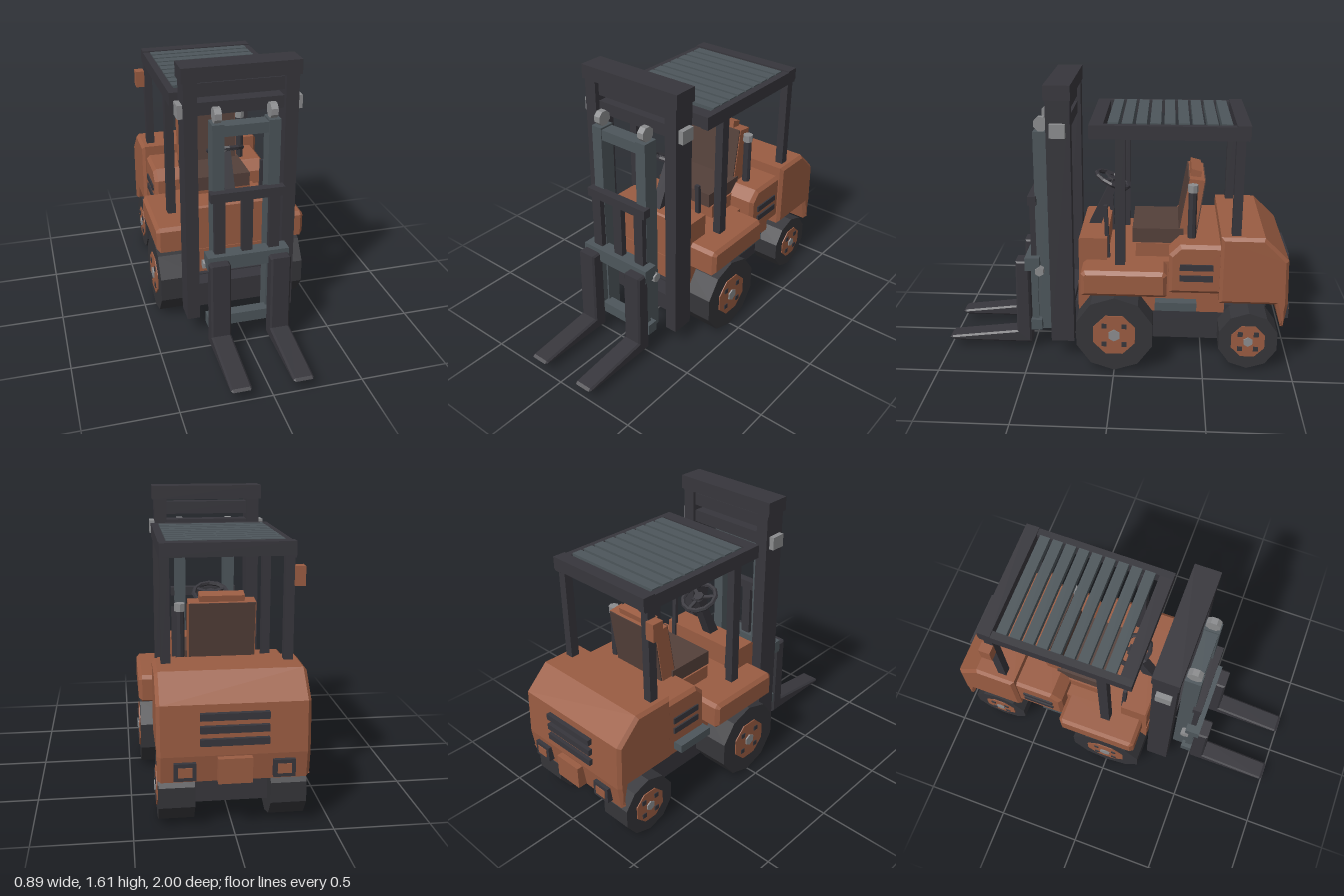
import * as THREE from 'three';

const mat = (name, color) => new THREE.MeshStandardMaterial({ name, color, flatShading: true });

export function createModel() {
  const orange = mat('orange paint', 0x9a5c42), dark = mat('dark steel', 0x37363c);
  const slate = mat('slate steel', 0x4d565b), light = mat('light metal', 0x8b8c8e);
  const brown = mat('brown seat', 0x54403a), rubber = mat('tyre rubber', 0x353539);
  const root = new THREE.Group();
  root.name = 'forklift';

  const add = (name, geo, m, parent = root) => {
    const mesh = new THREE.Mesh(geo, m);
    mesh.name = name;
    parent.add(mesh);
    return mesh;
  };
  // Box given by its limits on each axis
  const box = (name, m, x0, x1, y0, y1, z0, z1, parent) => {
    const g = new THREE.BoxGeometry(Math.abs(x1 - x0), y1 - y0, Math.abs(z1 - z0));
    g.translate((x0 + x1) / 2, (y0 + y1) / 2, (z0 + z1) / 2);
    return add(name, g, m, parent);
  };
  // The same box on both sides
  const pair = (name, m, x0, x1, ...rest) => [1, -1].forEach(s => box(name, m, s * x0, s * x1, ...rest));
  // Side profile of [z, y] points, extruded across x with chamfered edges
  const prof = (name, m, pts, x0, x1, bevel = 0) => {
    const shape = new THREE.Shape(pts.map(p => new THREE.Vector2(...p)));
    const w = Math.abs(x1 - x0);
    const g = new THREE.ExtrudeGeometry(shape, {
      depth: w - 2 * bevel, bevelEnabled: bevel > 0, bevelSize: bevel,
      bevelThickness: bevel, bevelOffset: -bevel, bevelSegments: 1,
    });
    g.translate(0, 0, -(w - 2 * bevel) / 2).rotateY(-Math.PI / 2).translate((x0 + x1) / 2, 0, 0);
    return add(name, g, m);
  };
  // Cylinder along x, with a flat at the bottom
  const disc = (name, m, r, sides, x0, x1, y, z, parent) => {
    const g = new THREE.CylinderGeometry(r, r, Math.abs(x1 - x0), sides);
    g.rotateY(Math.PI / sides).rotateZ(Math.PI / 2).translate((x0 + x1) / 2, y, z);
    return add(name, g, m, parent);
  };

  // Chassis and lower body
  box('chassis', dark, -0.21, 0.21, 0.09, 0.31, -0.82, 0.24);
  box('lowerBody', orange, -0.27, 0.27, 0.29, 0.46, -0.62, 0.215);
  box('floor', orange, -0.27, 0.27, 0.45, 0.6, -0.3, 0.1);
  pair('step', slate, 0.26, 0.33, 0.32, 0.37, -0.46, -0.225);
  disc('frontAxle', dark, 0.06, 8, -0.3, 0.3, 0.215, 0);
  disc('rearAxle', dark, 0.06, 8, -0.3, 0.3, 0.165, -0.755);

  // Front cowl and fenders
  prof('frontCowl', orange, [[0.21, 0.45], [0.21, 0.72], [0.2, 0.73], [0.05, 0.73], [0.05, 0.45]], -0.27, 0.27);
  for (const s of [1, -1])
    prof('fender', orange, [[0.185, 0.45], [0.185, 0.58], [0.165, 0.6], [-0.27, 0.6], [-0.29, 0.58], [-0.29, 0.46], [-0.28, 0.45]],
      s * 0.24, s * 0.442, 0.02);

  // Engine cover with side vents
  prof('engineCover', orange, [[-0.3, 0.44], [-0.3, 0.67], [-0.36, 0.73], [-0.62, 0.73], [-0.62, 0.44]], -0.355, 0.355, 0.02);
  for (const y of [0.52, 0.585]) pair('sideVent', dark, 0.34, 0.364, y, y + 0.035, -0.545, -0.36);

  // Counterweight, rear vents, lamps and hitch
  prof('counterweight', orange, [[-0.582, 0.395], [-0.582, 0.79], [-0.82, 0.79], [-0.955, 0.66], [-0.965, 0.4], [-0.945, 0.26],
    [-0.93, 0.26], [-0.895, 0.395]], -0.38, 0.38, 0.018);
  for (const y of [0.455, 0.52, 0.585]) box('rearVent', dark, -0.17, 0.17, y, y + 0.035, -0.982, -0.94);
  pair('rearLampFrame', dark, 0.19, 0.3, 0.28, 0.37, -0.982, -0.94);
  pair('rearLamp', orange, 0.21, 0.28, 0.3, 0.35, -0.986, -0.98);
  box('hitch', orange, -0.085, 0.085, 0.265, 0.395, -1, -0.93);

  // Wheels with hub, bolts and cap
  const wheel = (s, z, r, xIn, xOut, hubR) => {
    const g = new THREE.Group();
    g.name = z < -0.1 ? 'rearWheel' : 'frontWheel';
    root.add(g);
    const y = r * Math.cos(Math.PI / 10);
    disc('tyre', rubber, r, 10, s * xIn, s * xOut, y, z, g);
    disc('hub', orange, hubR, 8, s * (xOut - 0.02), s * (xOut + 0.006), y, z, g);
    disc('hubCap', light, hubR * 0.28, 6, s * xOut, s * (xOut + 0.014), y, z, g);
    const d = hubR * 0.44, b = 0.014;
    for (const i of [-d, d]) for (const j of [-d, d])
      box('bolt', dark, s * xOut, s * (xOut + 0.011), y + i - b, y + i + b, z + j - b, z + j + b, g);
  };
  for (const s of [1, -1]) {
    wheel(s, 0, 0.225, 0.21, 0.432, 0.127);
    wheel(s, -0.755, 0.173, 0.19, 0.372, 0.102);
  }

  // Seat
  box('seatBox', orange, -0.2, 0.2, 0.59, 0.68, -0.33, -0.11);
  box('seatCushion', brown, -0.19, 0.19, 0.68, 0.765, -0.38, -0.09);
  prof('seatBackFrame', orange, [[-0.35, 0.72], [-0.405, 1.06], [-0.49, 1.05], [-0.445, 0.71]], -0.18, 0.18);
  prof('seatPad', brown, [[-0.343, 0.72], [-0.398, 1.06], [-0.406, 1.06], [-0.351, 0.72]], -0.175, 0.175);
  prof('seatBackPlate', brown, [[-0.444, 0.72], [-0.488, 1.05], [-0.496, 1.05], [-0.452, 0.72]], -0.175, 0.175);
  prof('headrest', orange, [[-0.41, 1.055], [-0.417, 1.1], [-0.475, 1.085], [-0.47, 1.05]], -0.12, 0.12);

  // Steering column, wheel and levers
  prof('steeringColumn', dark, [[0.17, 0.73], [0.045, 0.99], [0, 0.985], [0.1, 0.73]], -0.03, 0.03);
  const steering = new THREE.Group();
  steering.name = 'steeringWheel';
  steering.position.set(0, 0.992, 0.035);
  steering.rotation.x = -0.44;
  root.add(steering);
  add('rim', new THREE.TorusGeometry(0.1, 0.014, 6, 12).rotateX(Math.PI / 2), dark, steering);
  add('hub', new THREE.CylinderGeometry(0.03, 0.03, 0.03, 8), dark, steering);
  for (let i = 0; i < 3; i++)
    add('spoke', new THREE.BoxGeometry(0.1, 0.012, 0.02).translate(0.05, 0, 0).rotateY(i * Math.PI * 2 / 3 + Math.PI / 2), dark, steering);
  for (const s of [1, -1])
    prof('lever', dark, [[0.035, 0.6], [0.05, 0.91], [0.07, 0.91], [0.06, 0.6]], s * 0.205, s * 0.232);

  // Exhaust stack
  add('exhaust', new THREE.CylinderGeometry(0.024, 0.024, 0.28, 8).translate(0.22, 0.86, -0.425), dark);
  add('exhaustCap', new THREE.CylinderGeometry(0.029, 0.029, 0.042, 8).translate(0.22, 1.019, -0.425), light);

  // Overhead guard
  pair('frontPost', dark, 0.29, 0.338, 0.58, 1.34, -0.055, 0);
  pair('rearPost', dark, 0.29, 0.338, 0.78, 1.34, -0.69, -0.64);
  pair('roofRail', dark, 0.298, 0.34, 1.32, 1.395, -0.71, 0.14);
  box('roofFrontBar', dark, -0.3, 0.3, 1.325, 1.395, 0.065, 0.14);
  box('roofRearBar', dark, -0.34, 0.34, 1.33, 1.402, -0.715, -0.64);
  for (let i = 0; i < 9; i++) {
    const z = -0.62 + i * 0.0755;
    box('roofSlat', slate, -0.3, 0.3, 1.36, 1.402, z, z + 0.058);
  }
  box('beacon', orange, -0.39, -0.336, 1.175, 1.275, -0.705, -0.64);

  // Outer mast
  pair('mastUpright', dark, 0.24, 0.313, 0.1, 1.53, 0.24, 0.372);
  box('mastTop', dark, -0.325, 0.325, 1.52, 1.6, 0.235, 0.38);
  box('mastUpperBar', dark, -0.25, 0.25, 1.433, 1.505, 0.26, 0.345);
  box('mastMiddleBar', dark, -0.25, 0.25, 1.33, 1.4, 0.26, 0.345);
  box('mastLowerBar', dark, -0.25, 0.25, 0.215, 0.31, 0.25, 0.345);
  pair('mastBracket', light, 0.31, 0.342, 1.32, 1.395, 0.265, 0.35);

  // Inner mast with chain rollers
  pair('innerUpright', slate, 0.12, 0.185, 0.11, 1.315, 0.375, 0.465);
  box('innerTopBar', slate, -0.185, 0.185, 1.245, 1.305, 0.38, 0.46);
  for (const s of [1, -1]) disc('chainRoller', light, 0.043, 8, s * 0.132, s * 0.17, 1.355, 0.42);

  // Carriage and load backrest
  box('carriageUpperBar', slate, -0.23, 0.23, 0.5, 0.58, 0.445, 0.53);
  box('carriageLowerBar', slate, -0.225, 0.225, 0.12, 0.185, 0.44, 0.505);
  pair('carriagePlate', slate, 0.13, 0.2, 0.12, 0.52, 0.46, 0.5);
  for (const s of [1, -1]) disc('carriageRoller', light, 0.028, 6, s * 0.2, s * 0.24, 0.5, 0.445);
  box('backrestTop', dark, -0.205, 0.205, 0.893, 0.945, 0.455, 0.505);
  for (const x of [-0.153, 0, 0.153]) box('backrestBar', dark, x - 0.03, x + 0.03, 0.57, 0.9, 0.463, 0.497);

  // Forks
  for (const s of [1, -1])
    prof('fork', dark, [[0.505, 0.035], [0.505, 0.555], [0.585, 0.555], [0.592, 0.11], [0.985, 0.062], [1, 0.05], [0.97, 0.035]],
      s * 0.113, s * 0.227, 0.01);

  return root;
}
